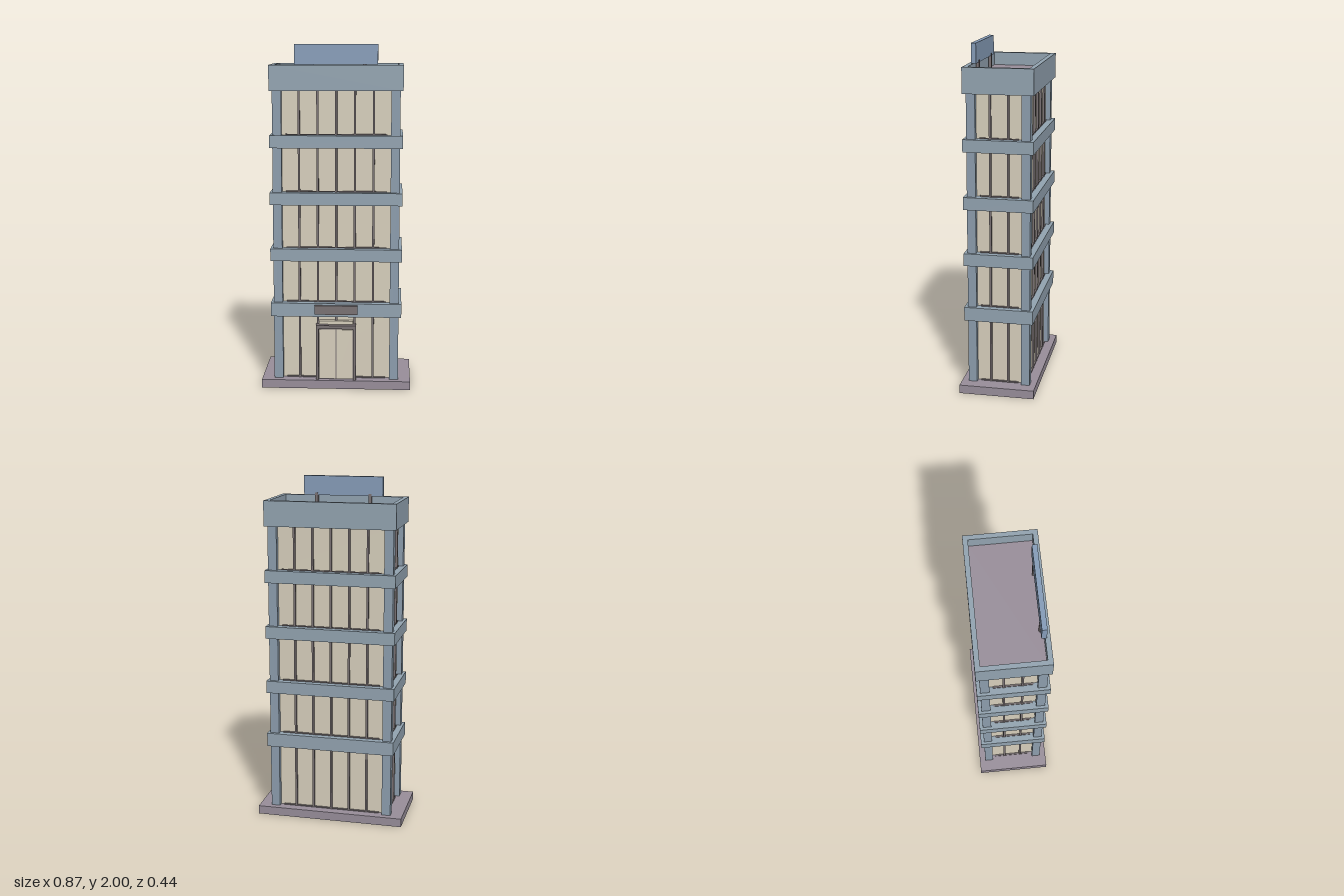
import * as THREE from 'three';

const mat = (color) => new THREE.MeshStandardMaterial({ color });
const wall = mat(0x93a4b1), column = mat(0x8d9eae), glass = mat(0xd8d0bd);
const paving = mat(0x998f9b), metal = mat(0x7a7274), signBlue = mat(0x869db9);

// Box given by its extents on each axis
function box(parent, name, material, [x0, x1], [y0, y1], [z0, z1]) {
  const mesh = new THREE.Mesh(new THREE.BoxGeometry(x1 - x0, y1 - y0, z1 - z0), material);
  mesh.position.set((x0 + x1) / 2, (y0 + y1) / 2, (z0 + z1) / 2);
  mesh.name = name;
  parent.add(mesh);
  return mesh;
}

const about = (c, half) => [c - half, c + half];
const ZC = -0.004; // centre of the tower in depth
const GX = 0.333, GZ = 0.15; // half extents of the glazing

// Glazing of one storey with mullions and sill rails on all four sides
function createStorey(y0, y1) {
  const storey = new THREE.Group();
  storey.name = 'storey';
  box(storey, 'glazing', glass, [-GX, GX], [y0, y1], about(ZC, GZ));
  for (const side of [-1, 1]) {
    const z = ZC + side * (GZ + 0.004), x = side * (GX + 0.004);
    for (let i = -2; i <= 2; i++)
      box(storey, 'mullion', metal, about(i * 0.107, 0.006), [y0, y1], about(z, 0.008));
    for (const i of [-0.5, 0.5])
      box(storey, 'sideMullion', metal, about(x, 0.008), [y0, y1], about(ZC + i * 0.102, 0.006));
    box(storey, 'sillRail', metal, [-0.29, 0.29], [y0, y0 + 0.006], about(z, 0.006));
    box(storey, 'sideSillRail', metal, about(x, 0.006), [y0, y0 + 0.006], about(ZC, 0.11));
  }
  return storey;
}

// Hollow parapet around the roof
function createParapet() {
  const rect = (Type, x, z0, z1) => {
    const p = new Type();
    p.moveTo(-x, -z1).lineTo(x, -z1).lineTo(x, -z0).lineTo(-x, -z0).closePath();
    return p;
  };
  const shape = rect(THREE.Shape, 0.38, -0.203, 0.195);
  shape.holes.push(rect(THREE.Path, 0.353, -0.175, 0.167));
  const geometry = new THREE.ExtrudeGeometry(shape, { depth: 0.145, bevelEnabled: false });
  geometry.rotateX(-Math.PI / 2);
  const mesh = new THREE.Mesh(geometry, wall);
  mesh.position.y = 1.74;
  mesh.name = 'parapet';
  return mesh;
}

// Double door with surround
function createEntrance() {
  const door = new THREE.Group();
  door.name = 'entrance';
  for (const s of [-1, 1]) {
    box(door, 'doorJamb', metal, about(s * 0.109, 0.008), [0.05, 0.38], [0.14, 0.205]);
    box(door, 'doorLeaf', glass, about(s * 0.051, 0.047), [0.055, 0.352], [0.14, 0.188]);
  }
  box(door, 'doorGap', metal, [-0.101, 0.101], [0.05, 0.362], [0.14, 0.184]);
  box(door, 'doorHead', metal, [-0.117, 0.117], [0.36, 0.38], [0.14, 0.205]);
  box(door, 'transomLedge', glass, [-0.1, 0.1], [0.38, 0.4], [0.14, 0.174]);
  return door;
}

export function createModel() {
  const tower = new THREE.Group();
  tower.name = 'officeTower';

  box(tower, 'basePlinth', paving, [-0.435, 0.435], [0, 0.05], [-0.22, 0.215]);

  // Floor bands with glazed storeys between them
  const bands = [[0.43, 0.51], [0.76, 0.832], [1.088, 1.16], [1.416, 1.488]];
  let bottom = 0.05;
  for (const [y0, y1] of bands) {
    tower.add(createStorey(bottom, y0));
    box(tower, 'floorBand', wall, [-0.38, 0.38], [y0, y1], [-0.203, 0.195]);
    bottom = y1;
  }
  tower.add(createStorey(bottom, 1.745));

  // Corner columns
  for (const sx of [-1, 1])
    for (const sz of [-1, 1])
      box(tower, 'cornerColumn', column, about(sx * 0.338, 0.026), [0.05, 1.745], about(ZC + sz * 0.155, 0.025));

  // Roof deck and parapet
  tower.add(createParapet());
  box(tower, 'roofDeck', paving, [-0.354, 0.354], [1.742, 1.81], [-0.176, 0.168]);

  tower.add(createEntrance());

  // Blank sign boards above the door and on the roof
  box(tower, 'entranceSign', metal, [-0.125, 0.125], [0.447, 0.5], [0.19, 0.209]);
  box(tower, 'roofSign', signBlue, [-0.236, 0.236], [1.887, 2], [0.147, 0.175]);
  for (const s of [-1, 1])
    box(tower, 'roofSignPost', metal, about(s * 0.16, 0.009), [1.81, 1.9], about(0.153, 0.009));

  return tower;
}
